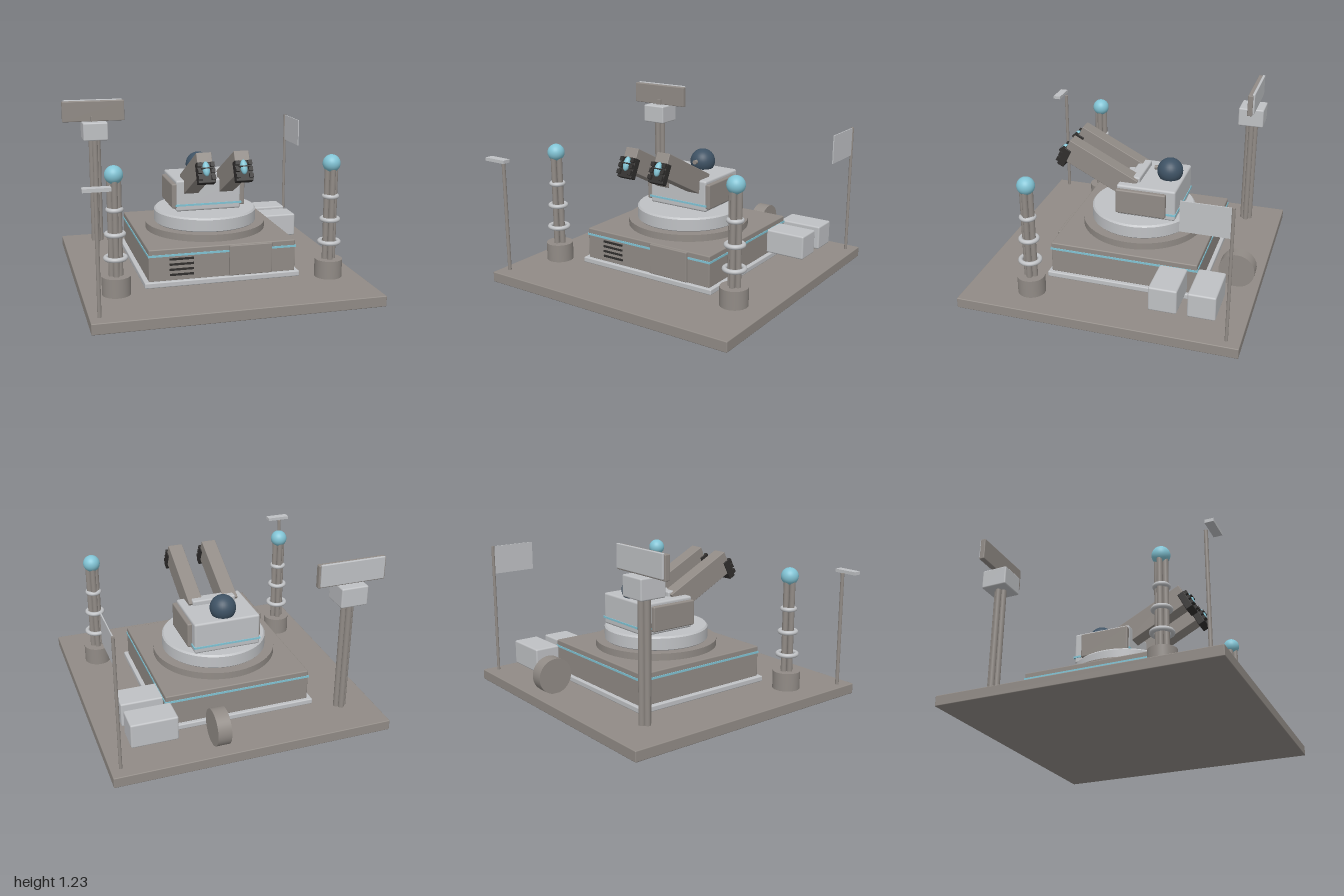
import * as THREE from 'three';
import { RoundedBoxGeometry } from 'three/addons/geometries/RoundedBoxGeometry.js';

const mat = (name, color) => {
  const m = new THREE.MeshStandardMaterial({ color });
  m.name = name;
  return m;
};

export function createModel() {
  const root = new THREE.Group();
  root.name = 'turretPlatform';
  const stone = mat('warm grey', 0x918b86);
  const pale = mat('pale grey', 0xbfc1c4);
  const glow = mat('light cyan', 0x82c4d5);
  const navy = mat('slate blue', 0x3e5264);
  const dark = mat('charcoal', 0x302e2d);

  const add = (name, geo, m, x = 0, y = 0, z = 0, parent = root) => {
    const mesh = new THREE.Mesh(geo, m);
    mesh.name = name;
    mesh.position.set(x, y, z);
    parent.add(mesh);
    return mesh;
  };
  // box given by its min and max on each axis, with optional edge rounding
  const box = (name, m, [x0, x1], [y0, y1], [z0, z1], r = 0, parent = root) => {
    const s = [x1 - x0, y1 - y0, z1 - z0];
    const geo = r ? new RoundedBoxGeometry(...s, 2, r) : new THREE.BoxGeometry(...s);
    return add(name, geo, m, (x0 + x1) / 2, (y0 + y1) / 2, (z0 + z1) / 2, parent);
  };
  // upright cylinder from y0 to y1
  const post = (name, m, r, x, y0, y1, z, parent = root, sides = 32) =>
    add(name, new THREE.CylinderGeometry(r, r, y1 - y0, sides), m, x, (y0 + y1) / 2, z, parent);
  const ball = (name, m, r, x, y, z, parent = root) =>
    add(name, new THREE.SphereGeometry(r, 32, 20), m, x, y, z, parent);

  const CX = 0.0125, CZ = -0.07;

  // ground slab and bunker
  box('groundSlab', stone, [-0.975, 1], [0, 0.075], [-0.9875, 0.9875], 0.006);
  box('bunkerFooting', pale, [-0.547, 0.565], [0.085, 0.125], [-0.627, 0.485], 0.008);
  box('bunker', stone, [-0.515, 0.537], [0.12, 0.35], [-0.6, 0.46], 0.008);
  box('bunkerLightStrip', glow, [-0.519, 0.541], [0.297, 0.312], [-0.604, 0.464]);
  box('frontHatch', stone, [0.053, 0.362], [0.128, 0.345], [0.45, 0.478], 0.006);
  for (let i = 0; i < 4; i++) {
    const y = 0.165 + i * 0.037;
    box('ventSlot', dark, [-0.37, -0.2], [y - 0.007, y + 0.007], [0.46, 0.468]);
  }

  // turntable
  post('turntableRing', stone, 0.443, CX, 0.35, 0.4, CZ, root, 64);
  const disc = [[0, 0.4], [0.371, 0.4], [0.377, 0.406], [0.377, 0.488], [0.366, 0.5], [0, 0.5]];
  const profile = [];
  disc.forEach(([r, y], i) => {
    profile.push(new THREE.Vector2(r, y));
    if (i > 0 && i < 5) profile.push(new THREE.Vector2(r, y)); // doubled points keep edges crisp
  });
  add('turntableDisc', new THREE.LatheGeometry(profile, 64), pale, CX, 0, CZ);

  // turret body with cheek plates, mount and sensor dome
  box('turretBody', pale, [-0.233, 0.25], [0.5, 0.73], [-0.365, 0.065], 0.015);
  box('turretLightStrip', glow, [-0.238, 0.256], [0.54, 0.554], [-0.37, 0.07]);
  for (const s of [-1, 1]) {
    const x = CX - 0.004 + s * 0.254;
    box('cheekPlate', stone, [x - 0.019, x + 0.019], [0.525, 0.707], [-0.3, 0.064], 0.01);
  }
  box('gunMount', pale, [-0.153, 0.17], [0.68, 0.766], [-0.085, 0], 0.012);
  ball('sensorDome', navy, 0.093, 0.01, 0.78, -0.265);
  const lens = post('sensorNub', stone, 0.016, 0.01, -0.02, 0.02, 0);
  lens.rotation.x = Math.PI / 2;
  lens.position.set(0.01, 0.79, -0.17);

  // twin guns: local origin at the upper front edge, barrel running back along -z
  for (const x of [-0.121, 0.142]) {
    const gun = new THREE.Group();
    gun.name = 'gun';
    gun.position.set(x, 1.0, 0.425);
    gun.rotation.x = -0.47;
    root.add(gun);
    box('gunBarrel', stone, [-0.053, 0.053], [-0.165, 0], [-0.56, 0], 0.004, gun);
    box('muzzleBlock', dark, [-0.06, 0.06], [-0.215, -0.07], [-0.045, 0.008], 0.004, gun);
    for (const s of [-1, 1])
      for (const y of [-0.09, -0.135, -0.18])
        box('muzzleTooth', dark, [s * 0.045 - 0.014, s * 0.045 + 0.014], [y - 0.015, y + 0.015], [0, 0.028], 0, gun);
    ball('muzzleCrystal', glow, 0.03, 0, -0.12, 0.015, gun).scale.set(0.85, 1.7, 0.8);
    box('crystalClamp', dark, [-0.04, 0.04], [-0.124, -0.116], [0, 0.042], 0, gun);
  }

  // glowing pylons at the front corners
  for (const s of [-1, 1]) {
    const g = new THREE.Group();
    g.name = 'pylon';
    g.position.set(CX - 0.003 + s * 0.757, 0, 0.52);
    root.add(g);
    post('pylonBase', stone, 0.097, 0, 0.085, 0.215, 0, g);
    for (let i = 0; i < 4; i++) {
      const a = i * Math.PI / 2;
      post('pylonRod', stone, 0.02, 0.029 * Math.cos(a), 0.2, 0.88, 0.029 * Math.sin(a), g, 16);
    }
    for (const [y, r] of [[0.338, 0.083], [0.502, 0.073], [0.667, 0.06]]) {
      const ring = add('pylonRing', new THREE.TorusGeometry(r - 0.016, 0.016, 12, 40), pale, 0, y, 0, g);
      ring.rotation.x = Math.PI / 2;
    }
    ball('pylonOrb', glow, 0.062, 0, 0.9, 0, g);
  }

  // scanner mast
  for (let i = 0; i < 4; i++) {
    const a = i * Math.PI / 2;
    post('mastRod', stone, 0.021, -0.714 + 0.026 * Math.cos(a), 0.1, 0.94, -0.72 + 0.026 * Math.sin(a), root, 16);
  }
  box('mastHead', pale, [-0.81, -0.617], [0.925, 1.065], [-0.817, -0.627], 0.01);
  box('scannerNeck', stone, [-0.74, -0.69], [1.05, 1.108], [-0.74, -0.7]);
  box('scannerPanel', stone, [-0.96, -0.473], [1.065, 1.225], [-0.752, -0.714], 0.006);
  box('scannerBack', pale, [-0.948, -0.485], [1.075, 1.232], [-0.765, -0.745], 0.005);

  // sign post and flag pole
  post('signPost', stone, 0.013, -0.91, 0.07, 0.9, 0.885);
  box('signBoard', pale, [-1, -0.825], [0.895, 0.918], [0.907, 0.965]);
  post('flagPole', stone, 0.011, 0.93, 0.07, 1.035, -0.893);
  box('flag', pale, [0.926, 0.934], [0.825, 1.033], [-0.893, -0.565]);

  // crates on the left flank and cable drum at the back
  box('rearCrate', pale, [0.505, 0.832], [0.135, 0.312], [-0.797, -0.605], 0.012);
  box('sideCrate', pale, [0.53, 0.832], [0.135, 0.312], [-0.535, -0.338], 0.012);
  const drum = post('cableDrum', stone, 0.128, 0, -0.048, 0.048, 0, root, 40);
  drum.rotation.z = Math.PI / 2;
  drum.position.set(0.238, 0.2, -0.828);

  return root;
}
